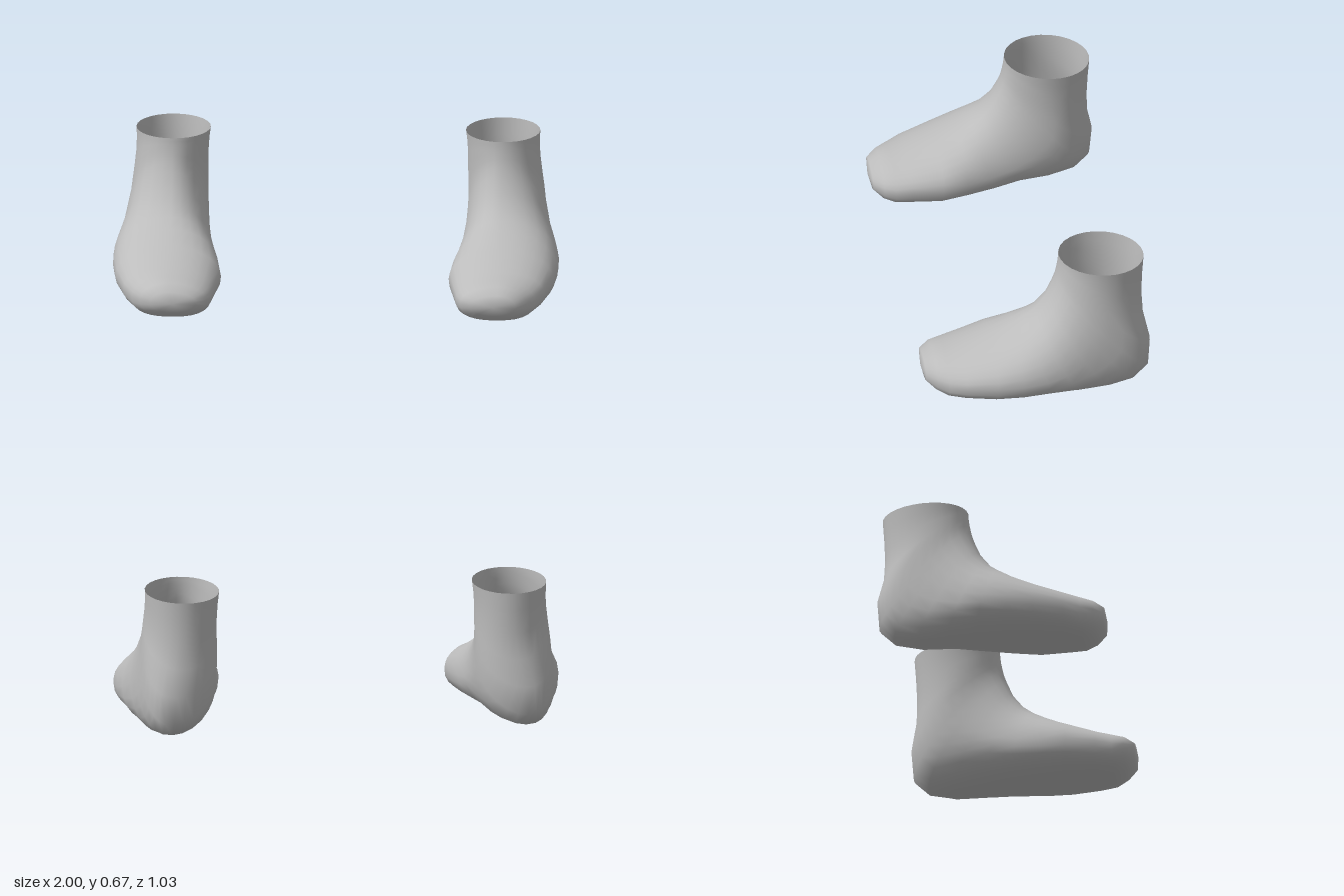
import * as THREE from 'three';

const RING = 28;

// Cross-sections from toe to cuff:
// [instep z, y,  sole z, y,  inner x, outer x,  sole centre x,  height fraction of widest point, sole roundness]
const SECTIONS = [
  [0.505, 0.168, 0.503, 0.070, 0.615, 0.820, 0.72, 0.50, 0.90],
  [0.460, 0.195, 0.462, 0.034, 0.570, 0.868, 0.72, 0.50, 0.85],
  [0.410, 0.206, 0.410, 0.014, 0.550, 0.905, 0.73, 0.50, 0.80],
  [0.340, 0.221, 0.335, 0.012, 0.535, 0.945, 0.73, 0.52, 0.79],
  [0.200, 0.268, 0.205, 0.010, 0.511, 0.985, 0.74, 0.47, 0.79],
  [0.100, 0.315, 0.080, 0.012, 0.526, 1.000, 0.76, 0.42, 0.83],
  [0.045, 0.350, -0.060, 0.016, 0.546, 1.000, 0.78, 0.40, 0.88],
  [0.000, 0.384, -0.190, 0.012, 0.562, 0.985, 0.79, 0.42, 1.05],
  [-0.050, 0.450, -0.330, 0.002, 0.574, 0.960, 0.80, 0.46, 1.05],
  [-0.080, 0.520, -0.440, 0.020, 0.580, 0.945, 0.80, 0.48, 1.05],
  [-0.094, 0.560, -0.505, 0.080, 0.583, 0.933, 0.80, 0.48, 1.08],
  [-0.101, 0.592, -0.515, 0.210, 0.583, 0.924, 0.79, 0.48, 1.08],
  [-0.106, 0.618, -0.490, 0.330, 0.583, 0.915, 0.765, 0.49, 1.00],
  [-0.109, 0.642, -0.485, 0.450, 0.583, 0.907, 0.745, 0.50, 1.00],
  [-0.110, 0.655, -0.490, 0.560, 0.579, 0.905, 0.742, 0.50, 1.00],
  [-0.111, 0.670, -0.496, 0.640, 0.573, 0.907, 0.740, 0.50, 1.00],
];

// Lofts one sock; side is +1 for the left foot and -1 for the right
function sockGeometry(side) {
  const pos = [];
  const index = [];
  const face = (a, b, c) => (side > 0 ? index.push(a, b, c) : index.push(a, c, b));

  for (const [tz, ty, bz, by, xIn, xOut, xSole, widest, roundIn] of SECTIONS) {
    // the heel is hollowed on the inside and full on the outside
    const roundOut = roundIn > 1 ? 0.8 : roundIn;
    for (let j = 0; j < RING; j++) {
      const a = (j / RING) * Math.PI * 2;
      const c = Math.cos(a);
      const s = Math.sin(a);
      // shaped sole, round instep
      const round = c > 0 ? 1 : s > 0 ? roundOut : roundIn;
      const up = Math.sign(c) * Math.pow(Math.abs(c), round);
      const out = Math.sign(s) * Math.pow(Math.abs(s), round);
      const t = widest + up * (up > 0 ? 1 - widest : widest);
      const xc = THREE.MathUtils.lerp(xSole, 0.74, t);
      const x = xc + out * (out > 0 ? xOut - xc : xc - xIn);
      pos.push(side * x, THREE.MathUtils.lerp(by, ty, t), THREE.MathUtils.lerp(bz, tz, t));
    }
  }

  // walls between neighbouring sections, leaving the cuff open
  for (let i = 0; i < SECTIONS.length - 1; i++) {
    for (let j = 0; j < RING; j++) {
      const k = (j + 1) % RING;
      const a = i * RING + j, b = i * RING + k;
      face(a, b, a + RING);
      face(b, b + RING, a + RING);
    }
  }

  // toe tip
  const tip = pos.length / 3;
  pos.push(side * 0.72, 0.115, 0.515);
  for (let j = 0; j < RING; j++) face(tip, (j + 1) % RING, j);

  const geo = new THREE.BufferGeometry();
  geo.setAttribute('position', new THREE.Float32BufferAttribute(pos, 3));
  geo.setIndex(index);
  geo.computeVertexNormals();
  return geo;
}

export function createModel() {
  const group = new THREE.Group();
  group.name = 'pairOfSocks';
  const fabric = new THREE.MeshStandardMaterial({ color: 0xbcbcbc, side: THREE.DoubleSide });
  fabric.name = 'grey fabric';

  for (const [name, side] of [['leftSock', 1], ['rightSock', -1]]) {
    const sock = new THREE.Mesh(sockGeometry(side), fabric);
    sock.name = name;
    group.add(sock);
  }
  return group;
}
